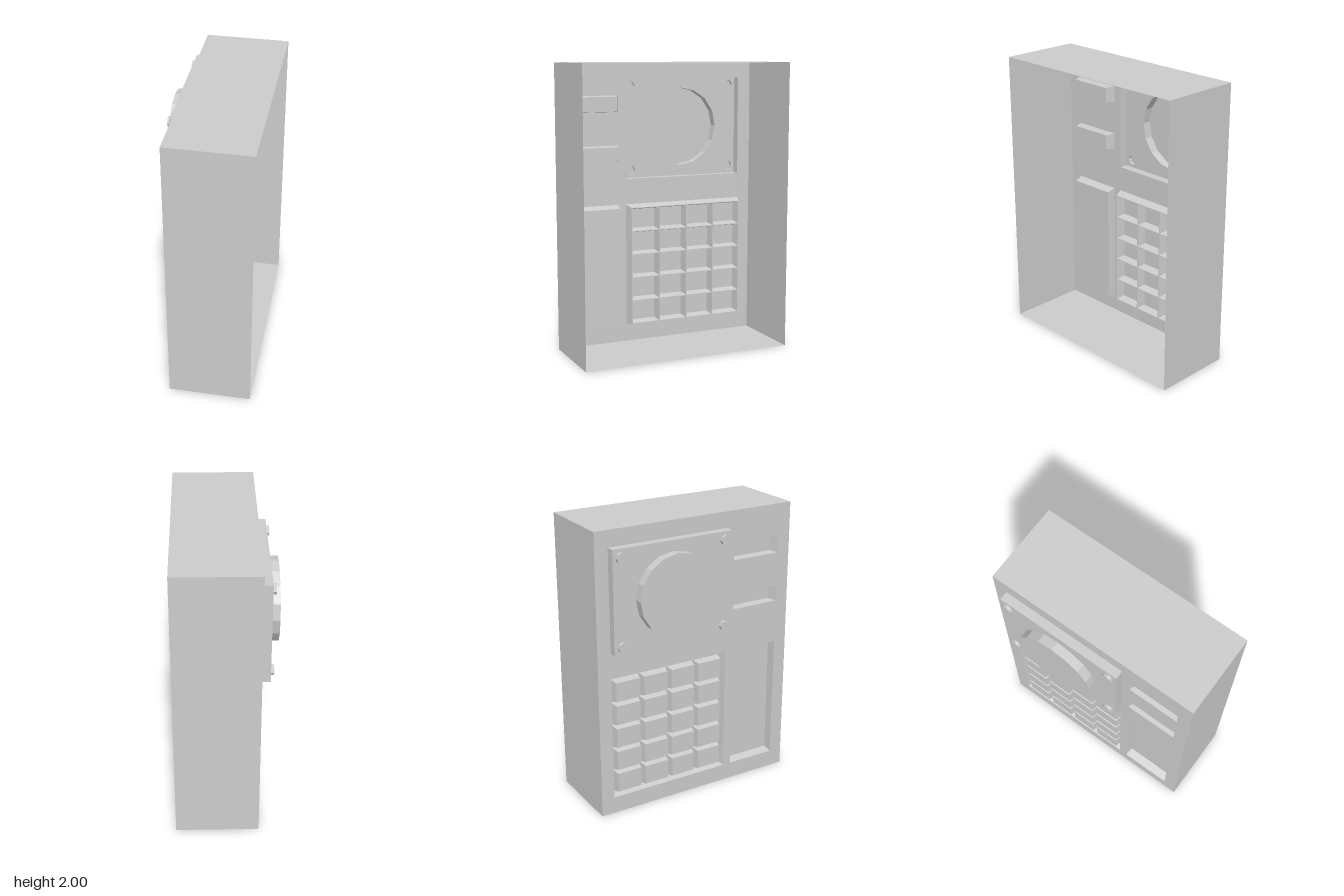
import * as THREE from 'three';

const material = new THREE.MeshStandardMaterial({ color: 0xcccccc, flatShading: true, side: THREE.DoubleSide });

// Outlines run counter-clockwise in the plane of the panel
const rect = (x0, x1, y0, y1) => [[x0, y0], [x1, y0], [x1, y1], [x0, y1]].map(p => new THREE.Vector2(...p));

function ngon(cx, cy, r, sides) {
  return Array.from({ length: sides }, (_, i) => {
    const a = (i / sides) * Math.PI * 2;
    return new THREE.Vector2(cx + r * Math.cos(a), cy + r * Math.sin(a));
  });
}

// Flat sheet at one depth, with openings
function sheet(name, parent, outline, depth, holes = []) {
  const shape = new THREE.Shape(outline);
  shape.holes = holes.map(h => new THREE.Path(h));
  const mesh = new THREE.Mesh(new THREE.ShapeGeometry(shape).translate(0, 0, depth), material);
  mesh.name = name;
  parent.add(mesh);
}

// Band of side faces joining two outlines at two depths
function band(name, parent, a, za, b, zb) {
  const pos = [];
  for (let i = 0; i < a.length; i++) {
    const j = (i + 1) % a.length;
    const p = [a[i].x, a[i].y, za], q = [a[j].x, a[j].y, za];
    const r = [b[j].x, b[j].y, zb], s = [b[i].x, b[i].y, zb];
    pos.push(...p, ...q, ...r, ...p, ...r, ...s);
  }
  const geo = new THREE.BufferGeometry();
  geo.setAttribute('position', new THREE.Float32BufferAttribute(pos, 3));
  geo.computeVertexNormals();
  const mesh = new THREE.Mesh(geo, material);
  mesh.name = name;
  parent.add(mesh);
}

// Raised or sunken hollow: sides plus an end sheet
function boss(name, parent, base, z0, end, z1, holes = []) {
  const group = new THREE.Group();
  group.name = name;
  band(name + 'Sides', group, base, z0, end, z1);
  sheet(name + 'Face', group, end, z1, holes);
  parent.add(group);
}

export function createModel() {
  const model = new THREE.Group();
  model.name = 'wallPanel';
  // Local frame: x along the panel, y up, z out of the panel face
  const panel = new THREE.Group();
  panel.name = 'panel';
  panel.rotation.y = -Math.PI / 2;
  model.add(panel);

  const surface = 0.225, floor = 0.165, plateTop = 0.285;
  const body = rect(-0.75, 0.75, 0, 2);
  const plate = rect(-0.655, 0.235, 1.18, 1.887);
  const keypad = rect(-0.655, 0.235, 0.12, 1.0);
  const tray = rect(0.295, 0.655, 0.12, 1.0);
  const slots = [1.305, 1.655].map(y => rect(0.295, 0.655, y, y + 0.115));

  // Casing, open at the rear
  band('casing', panel, body, -0.345, body, surface);
  sheet('frontFace', panel, body, surface, [plate, keypad, tray, ...slots]);

  // Speaker plate with disc and corner screws
  const disc = ngon(-0.215, 1.535, 0.28, 16);
  const screws = [];
  for (const x of [-0.6, 0.175]) for (const y of [1.235, 1.83]) screws.push(ngon(x, y, 0.035, 8));
  boss('plate', panel, plate, surface, plate, plateTop, [disc, ...screws]);
  boss('disc', panel, disc, plateTop, disc, 0.347);
  screws.forEach(s => boss('screw', panel, s, plateTop, s, 0.307));

  // Sunken slots and tray
  slots.forEach((s, i) => {
    const y = [1.305, 1.655][i];
    boss('slot', panel, s, surface, rect(0.32, 0.63, y + 0.006, y + 0.109), floor);
  });
  boss('tray', panel, tray, surface, rect(0.303, 0.647, 0.137, 0.98), floor);

  // Sunken keypad with a grid of tapered keys
  const bases = [];
  const px = 0.2125, py = 0.168;
  for (let c = 0; c < 4; c++) {
    for (let r = 0; r < 5; r++) {
      const x = -0.637 + c * px, y = 0.139 + r * py;
      const base = rect(x + 0.003, x + px - 0.003, y + 0.003, y + py - 0.003);
      bases.push(base);
      boss('key', panel, base, floor, rect(x + 0.018, x + px - 0.018, y + 0.016, y + py - 0.016), surface);
    }
  }
  boss('keypad', panel, keypad, surface, rect(-0.638, 0.216, 0.137, 0.981), floor, bases);

  return model;
}
